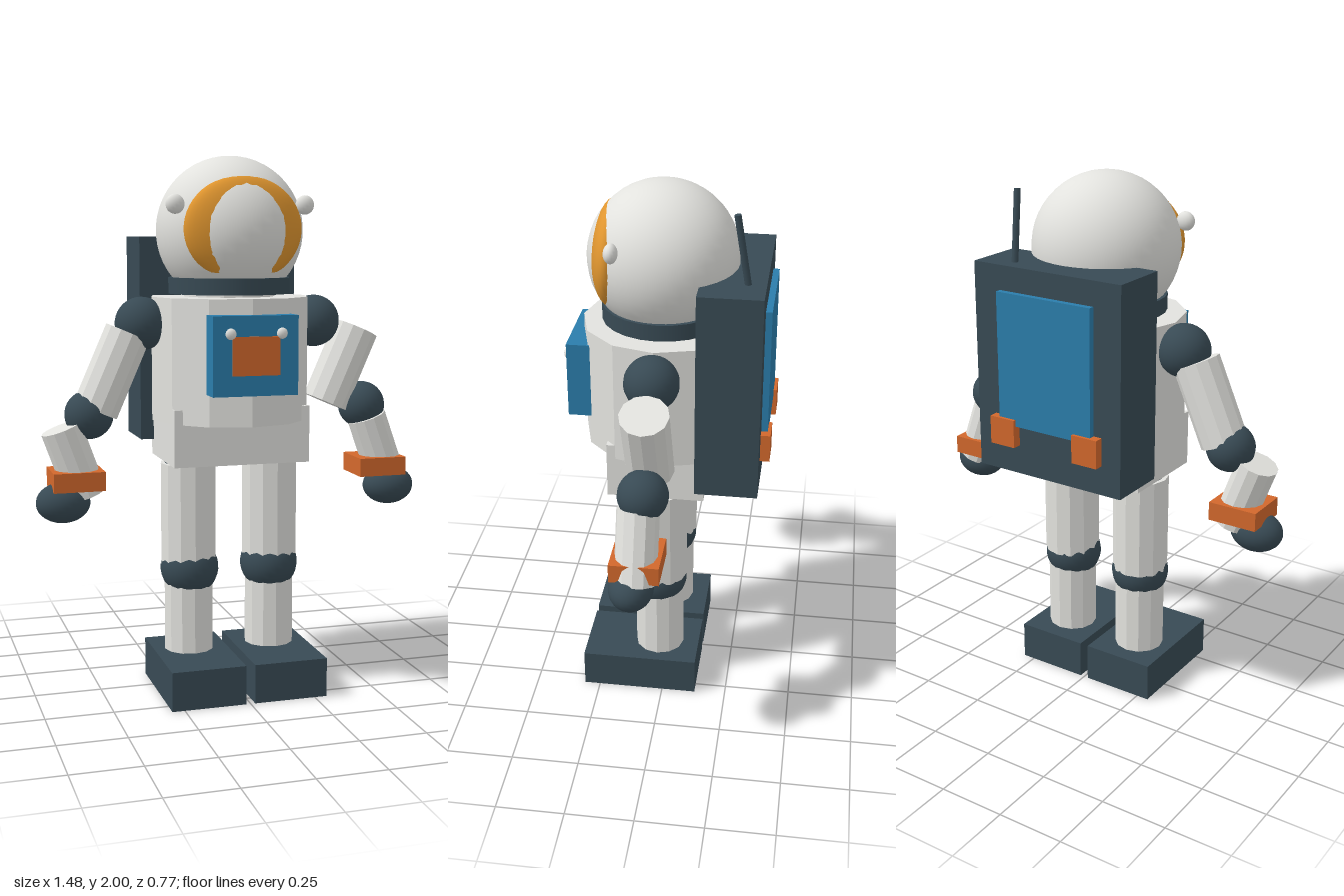
import * as THREE from 'three';

export function createModel() {
  const root = new THREE.Group();
  root.name = 'astronaut';

  const paint = (name, color, flatShading = false) => {
    const m = new THREE.MeshStandardMaterial({ color, flatShading });
    m.name = name;
    return m;
  };
  const suit = paint('suitWhite', 0xe2e2de, true);
  const shell = paint('shellWhite', 0xe2e2de);
  const dark = paint('slate', 0x384a54);
  const blue = paint('panelBlue', 0x2b7dab);
  const orange = paint('orange', 0xd2682c);
  const gold = paint('visorGold', 0xdf952f);

  const Z = 0.025; // body axis

  function add(name, geometry, material, x, y, z) {
    const mesh = new THREE.Mesh(geometry, material);
    mesh.name = name;
    mesh.position.set(x, y, z);
    root.add(mesh);
    return mesh;
  }
  const box = (name, mat, w, h, d, x, y, z) =>
    add(name, new THREE.BoxGeometry(w, h, d), mat, x, y, z);
  const tube = (name, mat, r, h, x, y, z, sides = 12) =>
    add(name, new THREE.CylinderGeometry(r, r, h, sides), mat, x, y, z);
  const ball = (name, mat, rx, ry, rz, x, y, z, seg = 24) => {
    const mesh = add(name, new THREE.SphereGeometry(1, seg, Math.round(seg * 0.7)), mat, x, y, z);
    mesh.scale.set(rx, ry, rz);
    return mesh;
  };

  // Body
  tube('torso', suit, 0.297, 0.455, 0, 1.2575, Z);
  box('pelvis', suit, 0.515, 0.21, 0.355, 0, 0.98, 0.027);
  tube('neck', suit, 0.17, 0.06, 0, 1.49, Z, 16);
  tube('collarRing', dark, 0.226, 0.06, 0, 1.525, Z, 24);

  // Helmet with a shallow visor just breaking through its surface
  ball('helmet', shell, 0.272, 0.272, 0.272, 0, 1.725, 0.028, 36);
  ball('visor', gold, 0.22, 0.19, 0.072, 0, 1.73, 0.205, 36);

  // Chest control panel
  box('chestPanel', blue, 0.314, 0.283, 0.085, 0, 1.288, 0.318);
  box('chestDisplay', orange, 0.174, 0.137, 0.02, 0, 1.288, 0.36);

  // Life support pack
  box('backpack', dark, 0.615, 0.77, 0.228, 0, 1.32, -0.236);
  box('packPanel', blue, 0.394, 0.49, 0.03, 0, 1.37, -0.358);

  // Antenna, leaning forward
  const base = new THREE.Vector3(0.176, 1.69, -0.288);
  const tip = new THREE.Vector3(0.19, 1.955, -0.245);
  const mid = base.clone().add(tip).multiplyScalar(0.5);
  const antenna = tube('antenna', dark, 0.012, base.distanceTo(tip), mid.x, mid.y, mid.z, 8);
  antenna.quaternion.setFromUnitVectors(
    new THREE.Vector3(0, 1, 0), tip.clone().sub(base).normalize());

  // Paired parts
  for (const [side, s] of [['left', 1], ['right', -1]]) {
    const n = (part) => side + part;

    ball(n('HelmetKnob'), shell, 0.035, 0.035, 0.025, s * 0.243, 1.817, 0.175, 16);
    ball(n('ChestButton'), shell, 0.02, 0.02, 0.013, s * 0.094, 1.367, 0.368, 14);
    box(n('PackThruster'), orange, 0.104, 0.105, 0.045, s * 0.178, 1.098, -0.3625);

    // Arm: both sides share the same tilt
    ball(n('Shoulder'), dark, 0.098, 0.098, 0.098, s * 0.335, 1.388, Z);
    tube(n('UpperArm'), suit, 0.087, 0.308, s * 0.448, 1.215, Z).rotation.z = -0.415;
    ball(n('Elbow'), dark, 0.09, 0.09, 0.09, s * 0.535, 1.059, 0.028);
    tube(n('Forearm'), suit, 0.076, 0.265, s * 0.596, 0.89, 0.042).rotation.z = 0.345;
    box(n('Cuff'), orange, 0.188, 0.07, 0.176, s * 0.589, 0.826, 0.041);
    ball(n('Glove'), dark, 0.1, 0.075, 0.08, s * 0.64, 0.743, 0.057);

    // Leg
    ball(n('Hip'), dark, 0.09, 0.09, 0.09, s * 0.16, 0.88, Z);
    tube(n('Thigh'), suit, 0.106, 0.385, s * 0.16, 0.6725, Z);
    ball(n('Knee'), dark, 0.11, 0.11, 0.11, s * 0.158, 0.462, 0.03);
    tube(n('Shin'), suit, 0.094, 0.29, s * 0.16, 0.28, Z);
    box(n('Boot'), dark, 0.28, 0.146, 0.44, s * 0.157, 0.073, 0.09);
  }

  return root;
}
